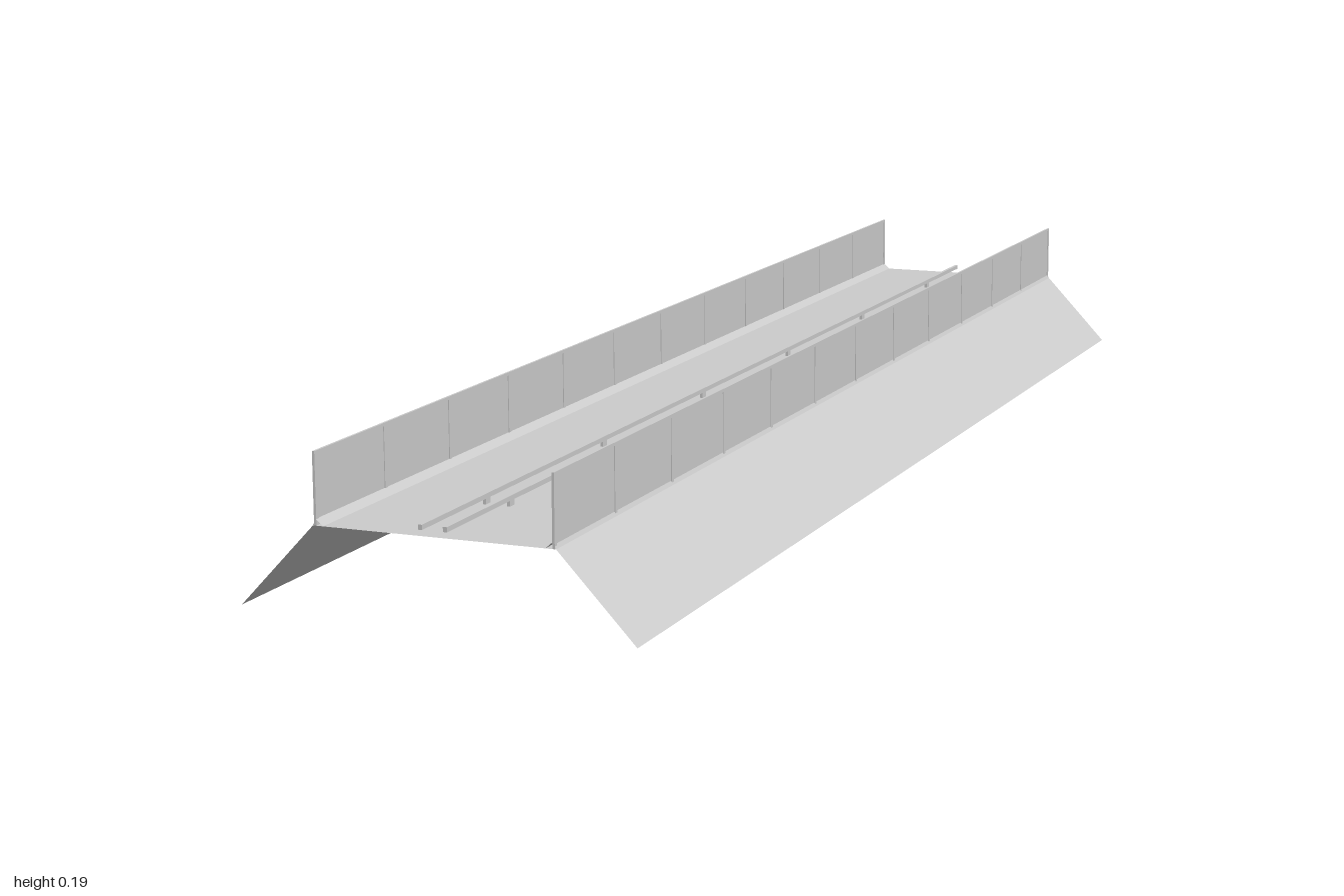
import * as THREE from 'three';

const LENGTH = 2;
const DECK_Y = 0.102;
const FENCE_X = 0.148;

export function createModel() {
  const model = new THREE.Group();
  model.name = 'railwayEmbankment';
  const solid = new THREE.MeshStandardMaterial({ color: 0xcccccc, flatShading: true });
  const sheet = new THREE.MeshStandardMaterial({ color: 0xcccccc, flatShading: true, side: THREE.DoubleSide });

  function box(parent, name, w, h, d, x, y, z) {
    const mesh = new THREE.Mesh(new THREE.BoxGeometry(w, h, d), solid);
    mesh.name = name;
    mesh.position.set(x, y, z);
    parent.add(mesh);
  }

  // Thin sheet swept along z from a cross-section running from -x to +x
  function strip(parent, name, points) {
    const geometry = new THREE.PlaneGeometry(1, LENGTH, points.length - 1, 1);
    const pos = geometry.attributes.position;
    for (let i = 0; i < pos.count; i++) {
      const [x, y] = points[i % points.length];
      pos.setXYZ(i, x, y, -pos.getY(i));
    }
    geometry.computeVertexNormals();
    const mesh = new THREE.Mesh(geometry, sheet);
    mesh.name = name;
    parent.add(mesh);
  }

  strip(model, 'deck', [[-0.151, DECK_Y], [0.151, DECK_Y]]);

  for (const side of [-1, 1]) {
    const label = side > 0 ? 'left' : 'right';
    const mirror = (points) => {
      const out = points.map(([x, y]) => [side * x, y]);
      return side > 0 ? out : out.reverse();
    };

    // Sloping bank and the low kerb below the fence
    strip(model, label + 'Bank', mirror([[0.151, DECK_Y], [0.247, 0]]));
    strip(model, label + 'Kerb', mirror([[0.138, DECK_Y], [0.147, 0.11], [0.151, DECK_Y]]));

    // Fence: panel, top bar and evenly spaced posts
    const fence = new THREE.Group();
    fence.name = label + 'Fence';
    model.add(fence);
    box(fence, 'fencePanel', 0.001, 0.084, LENGTH, side * FENCE_X, 0.144, 0);
    box(fence, 'fenceTopBar', 0.003, 0.004, LENGTH, side * FENCE_X, 0.186, 0);
    for (let i = 0; i <= 12; i++) {
      const z = THREE.MathUtils.clamp(-1 + i / 6, -0.997, 0.997);
      box(fence, 'fencePost', 0.003, 0.086, 0.006, side * FENCE_X, 0.145, z);
    }

    // Raised rail on short supports
    const track = new THREE.Group();
    track.name = label + 'Rail';
    model.add(track);
    box(track, 'railBar', 0.005, 0.006, LENGTH, side * 0.0155, 0.112, 0);
    for (let i = 0; i < 6; i++) {
      box(track, 'railSupport', 0.004, 0.008, 0.012, side * 0.0155, 0.106, -5 / 6 + i / 3);
    }
  }
  return model;
}
